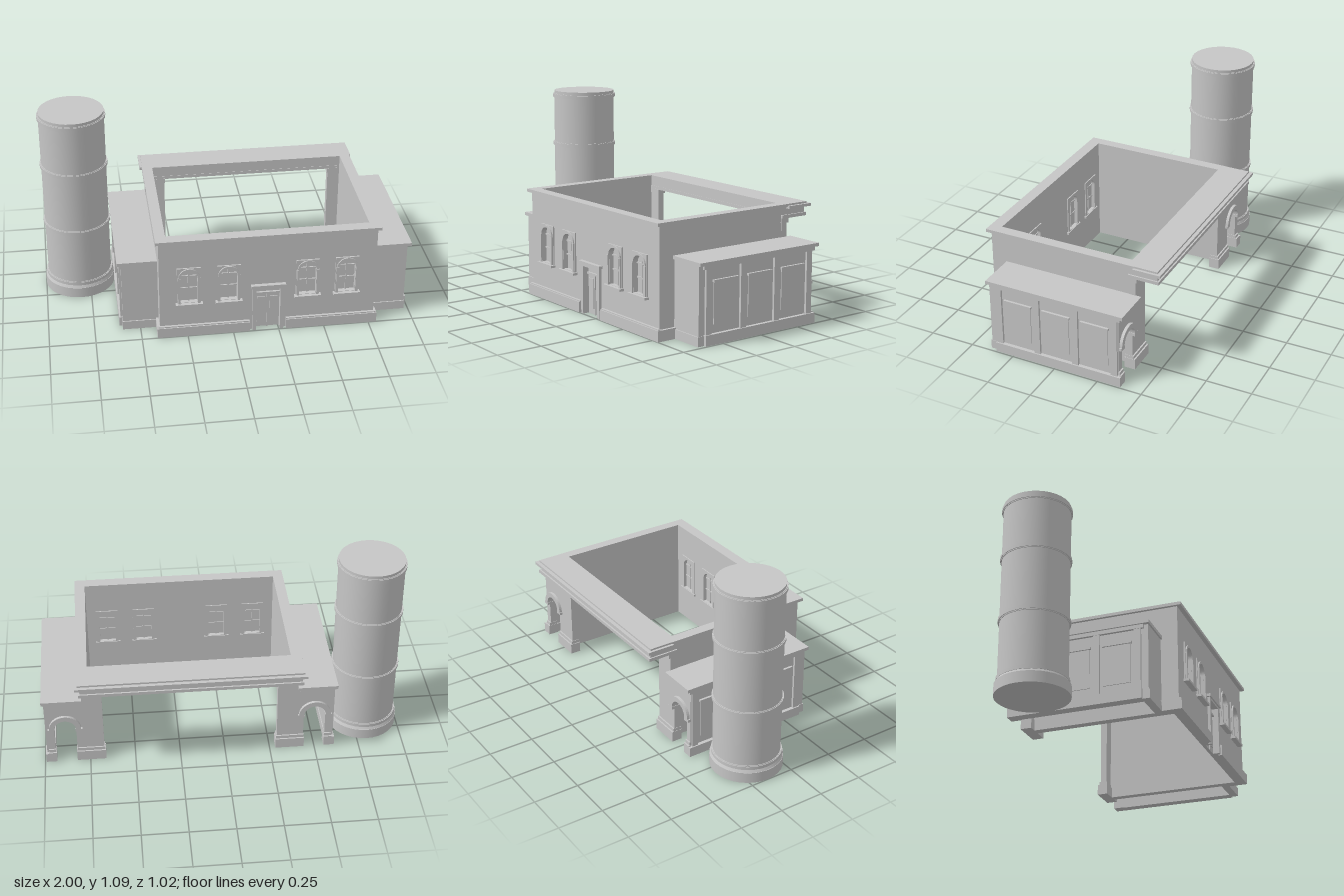
import * as THREE from 'three';

const stone = new THREE.MeshStandardMaterial({ color: 0xc6c6c6 });
stone.name = 'pale stone';
const CX = 0.19; // mirror plane of the hall and its wings

// Axis-aligned block from its limits; x is measured from the mirror plane
function block(parent, name, x0, x1, y0, y1, z0, z1) {
  const m = new THREE.Mesh(
    new THREE.BoxGeometry(Math.abs(x1 - x0), y1 - y0, Math.abs(z1 - z0)), stone);
  m.position.set((x0 + x1) / 2, (y0 + y1) / 2, (z0 + z1) / 2);
  m.name = name;
  parent.add(m);
  return m;
}

// Upright shape pushed from z0 to z1
function slab(parent, name, shape, z0, z1) {
  const g = new THREE.ExtrudeGeometry(shape, { depth: z1 - z0, bevelEnabled: false, curveSegments: 12 });
  const m = new THREE.Mesh(g, stone);
  m.position.z = z0;
  m.name = name;
  parent.add(m);
  return m;
}

function trace(path, points) {
  points.forEach(([x, y], i) => (i ? path.lineTo(x, y) : path.moveTo(x, y)));
  path.closePath();
  return path;
}
const rect = (path, x0, x1, y0, y1) => trace(path, [[x0, y0], [x1, y0], [x1, y1], [x0, y1]]);

// Round-headed opening
function arch(path, x, r, y0, spring) {
  path.moveTo(x - r, y0);
  path.lineTo(x + r, y0);
  path.lineTo(x + r, spring);
  path.absarc(x, spring, r, 0, Math.PI, false);
  path.lineTo(x - r, y0);
  return path;
}

// Half-ring moulding
function archRing(x, y, outer, inner) {
  const s = new THREE.Shape();
  s.absarc(x, y, outer, 0, Math.PI, false);
  s.absarc(x, y, inner, Math.PI, 0, true);
  s.closePath();
  return s;
}

const windowX = [-0.43, -0.215, 0.215, 0.43];

function addWindow(parent, x) {
  const w = new THREE.Group();
  w.name = 'window';
  w.position.x = x;
  parent.add(w);
  // Square surround with a round-headed hole, on both faces of the wall
  const s = rect(new THREE.Shape(), -0.064, 0.064, 0.205, 0.425);
  s.holes.push(arch(new THREE.Path(), 0, 0.046, 0.21, 0.365));
  slab(w, 'windowSurround', s, 0.48, 0.488);
  slab(w, 'innerSurround', s, 0.434, 0.44);
  slab(w, 'windowArch', archRing(0, 0.365, 0.058, 0.046), 0.486, 0.495);
  for (const k of [-1, 1]) block(w, 'windowJamb', k * 0.047, k * 0.06, 0.207, 0.367, 0.48, 0.497);
  block(w, 'windowSill', -0.073, 0.073, 0.195, 0.208, 0.48, 0.509);
  block(w, 'innerSill', -0.073, 0.073, 0.195, 0.208, 0.429, 0.44);
  block(w, 'windowPane', -0.052, 0.052, 0.2, 0.42, 0.455, 0.462);
  block(w, 'windowMullion', -0.004, 0.004, 0.208, 0.41, 0.45, 0.469);
  for (const y of [0.285, 0.36]) block(w, 'windowBar', -0.046, 0.046, y, y + 0.008, 0.45, 0.469);
}

function addDoor(parent) {
  const d = new THREE.Group();
  d.name = 'door';
  parent.add(d);
  block(d, 'doorLeaf', -0.07, 0.07, 0, 0.27, 0.44, 0.458);
  block(d, 'doorTransom', -0.066, 0.066, 0.217, 0.228, 0.458, 0.47);
  block(d, 'doorMeetingRail', -0.004, 0.004, 0, 0.217, 0.458, 0.464);
  for (const k of [-1, 1]) {
    block(d, 'doorJamb', k * 0.066, k * 0.085, 0, 0.272, 0.455, 0.495);
    block(d, 'doorPanel', k * 0.014, k * 0.056, 0.03, 0.195, 0.458, 0.463);
  }
  block(d, 'doorHead', -0.085, 0.085, 0.262, 0.275, 0.455, 0.495);
  block(d, 'doorCornice', -0.095, 0.095, 0.274, 0.29, 0.48, 0.503);
}

function addHall(parent) {
  const h = new THREE.Group();
  h.name = 'hall';
  parent.add(h);
  // Front wall cut for the door and windows
  const s = trace(new THREE.Shape(), [[-0.59, 0], [-0.068, 0], [-0.068, 0.268], [0.068, 0.268],
    [0.068, 0], [0.59, 0], [0.59, 0.6], [-0.59, 0.6]]);
  for (const x of windowX) s.holes.push(arch(new THREE.Path(), x, 0.046, 0.21, 0.365));
  slab(h, 'frontWall', s, 0.44, 0.48);
  windowX.forEach((x) => addWindow(h, x));
  addDoor(h);
  block(h, 'frontCornice', -0.606, 0.606, 0.588, 0.605, 0.44, 0.504);

  for (const k of [-1, 1]) {
    block(h, 'frontPlinth', k * 0.1, k * 0.605, 0, 0.058, 0.44, 0.5);
    block(h, 'plinthCap', k * 0.1, k * 0.6, 0.058, 0.064, 0.479, 0.494);
    block(h, 'sideWall', k * 0.548, k * 0.59, 0, 0.6, -0.33, 0.44);
    block(h, 'sidePlinth', k * 0.548, k * 0.605, 0, 0.058, 0.38, 0.45);
    block(h, 'sideCornice', k * 0.548, k * 0.606, 0.588, 0.605, -0.36, 0.44);
    // Pier carrying the open rear side
    block(h, 'rearPier', k * 0.48, k * 0.592, 0, 0.54, -0.362, -0.325);
    block(h, 'pierBase', k * 0.472, k * 0.6, 0, 0.06, -0.378, -0.318);
    block(h, 'pierBaseCap', k * 0.476, k * 0.596, 0.06, 0.078, -0.37, -0.322);
    block(h, 'pierCapital', k * 0.475, k * 0.597, 0.503, 0.53, -0.372, -0.322);
  }
  // Deep rear beam with stepped cornice
  block(h, 'rearBeam', -0.592, 0.592, 0.535, 0.603, -0.486, -0.325);
  block(h, 'beamLowerMoulding', -0.6, 0.6, 0.528, 0.546, -0.495, -0.323);
  block(h, 'beamUpperMoulding', -0.618, 0.618, 0.58, 0.595, -0.51, -0.355);
  block(h, 'beamTop', -0.604, 0.604, 0.594, 0.605, -0.49, -0.325);
}

function addWing(parent, k) {
  const w = new THREE.Group();
  w.name = k > 0 ? 'leftWing' : 'rightWing';
  parent.add(w);
  block(w, 'wingFrontWall', k * 0.59, k * 0.785, 0, 0.41, 0.355, 0.387);
  block(w, 'wingFrontPlinth', k * 0.59, k * 0.787, 0, 0.05, 0.35, 0.393);
  block(w, 'wingSideWall', k * 0.755, k * 0.783, 0, 0.41, -0.36, 0.36);
  block(w, 'wingSidePlinth', k * 0.75, k * 0.803, 0, 0.055, -0.378, 0.355);
  block(w, 'wingFrieze', k * 0.6, k * 0.798, 0.388, 0.41, -0.375, 0.364);
  block(w, 'wingRoof', k * 0.59, k * 0.807, 0.409, 0.427, -0.394, 0.396);

  // Pilasters and framed panels along the side
  for (let i = 0; i < 4; i++) {
    const z = 0.331 - i * 0.2235;
    block(w, 'wingPilaster', k * 0.775, k * 0.796, 0.05, 0.388, z - 0.018, z + 0.018);
    if (i === 3) continue;
    const c = z - 0.112;
    block(w, 'wingPanel', k * 0.78, k * 0.788, 0.1, 0.32, c - 0.074, c + 0.074);
    block(w, 'wingPanelHead', k * 0.78, k * 0.796, 0.316, 0.328, c - 0.08, c + 0.08);
  }

  // Rear wall with a round-headed passage
  const x = k * 0.688;
  const r = 0.06;
  const x0 = Math.min(k * 0.59, k * 0.785), x1 = Math.max(k * 0.59, k * 0.785);
  const s = new THREE.Shape();
  s.moveTo(x0, 0);
  s.lineTo(x - r, 0);
  s.lineTo(x - r, 0.22);
  s.absarc(x, 0.22, r, Math.PI, 0, true);
  s.lineTo(x + r, 0);
  s.lineTo(x1, 0);
  s.lineTo(x1, 0.41);
  s.lineTo(x0, 0.41);
  s.closePath();
  slab(w, 'wingRearWall', s, -0.362, -0.325);
  slab(w, 'passageArch', archRing(x, 0.22, 0.088, r), -0.378, -0.36);
  for (const j of [-1, 1]) {
    block(w, 'passageImpost', x + j * 0.057, x + j * 0.094, 0.206, 0.222, -0.378, -0.322);
    block(w, 'passagePlinth', x + j * 0.056, x + j * 0.1, 0, 0.06, -0.378, -0.318);
    block(w, 'passagePlinthCap', x + j * 0.058, x + j * 0.097, 0.06, 0.078, -0.37, -0.322);
  }
}

function addTower(parent) {
  const t = new THREE.Group();
  t.name = 'tower';
  t.position.set(-0.805, 0, -0.15);
  parent.add(t);
  const drum = (name, r, y0, y1, top = r) => {
    const m = new THREE.Mesh(new THREE.CylinderGeometry(top, r, y1 - y0, 32), stone);
    m.position.y = (y0 + y1) / 2;
    m.name = name;
    t.add(m);
  };
  drum('towerShaft', 0.179, 0.01, 1.086);
  drum('towerBase', 0.195, 0, 0.06);
  drum('towerBaseMoulding', 0.193, 0.06, 0.074, 0.186);
  for (const y of [0.084, 0.412, 0.767, 1.057]) {
    drum('towerBand', 0.187, y - 0.009, y + 0.009);
    drum('towerBandStep', 0.183, y - 0.014, y + 0.013);
  }
}

export function createModel() {
  const model = new THREE.Group();
  model.name = 'station';
  const building = new THREE.Group();
  building.name = 'building';
  building.position.x = CX;
  model.add(building);
  addHall(building);
  for (const k of [-1, 1]) addWing(building, k);
  addTower(model);
  return model;
}
